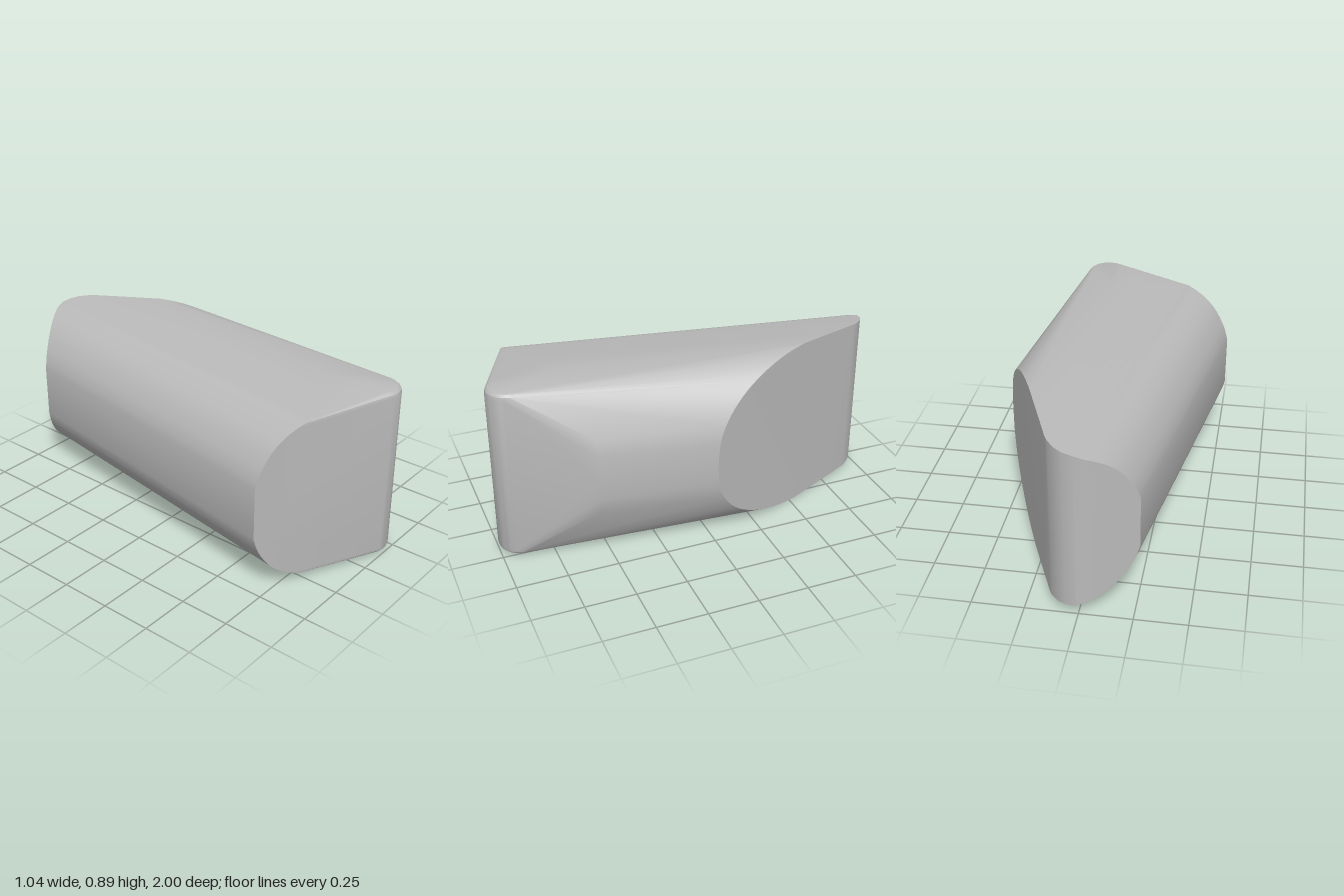
import * as THREE from 'three';
import { ConvexGeometry } from 'three/addons/geometries/ConvexGeometry.js';
import { toCreasedNormals } from 'three/addons/utils/BufferGeometryUtils.js';

const MID = 0.447;   // height of the horizontal symmetry plane
const SKEW = 0.163;  // sideways drift of the body axis per unit of z

// piecewise linear lookup in [[s, value], ...]
function lookup(table, s) {
  for (let i = 1; i < table.length; i++) {
    const [s0, v0] = table[i - 1], [s1, v1] = table[i];
    if (s <= s1) return v0 + (v1 - v0) * Math.max(0, (s - s0) / (s1 - s0));
  }
  return table[table.length - 1][1];
}

export function createModel() {
  const group = new THREE.Group();
  const grey = new THREE.MeshStandardMaterial({ color: 0xbababa });
  grey.name = 'grey';
  const points = [];
  const addMirrored = (x, h, z) => {
    points.push(new THREE.Vector3(x, MID + h, z), new THREE.Vector3(x, MID - h, z));
  };

  // upper half of the body cross-section: across, height above the middle
  const spline = pts => new THREE.SplineCurve(pts.map(p => new THREE.Vector2(...p)));
  const leftCorner = spline([[-0.402, 0.13], [-0.375, 0.21], [-0.315, 0.3], [-0.24, 0.36], [-0.155, 0.397]]);
  const rightCorner = spline([[0.21, 0.443], [0.28, 0.43], [0.35, 0.396], [0.41, 0.347],
    [0.455, 0.29], [0.49, 0.22], [0.512, 0.145], [0.52, 0.07], [0.522, 0.01]]);

  // where the body ends at the front and at the back, across the section
  const frontEnd = [[-0.402, 0.72], [-0.155, 0.816], [0.18, 0.65], [0.52, 0.55]];
  const backEnd = [[-0.402, -0.87], [-0.234, -0.975], [-0.197, -0.993], [-0.153, -1],
    [-0.101, -0.99], [-0.057, -0.965], [-0.016, -0.925], [0.003, -0.9], [0.522, 0]];

  const section = [...leftCorner.getPoints(16), ...rightCorner.getPoints(24)];
  // nearly flat top, with a sample at each bend of the back end
  for (const s of [-0.153, -0.128, -0.101, -0.079, -0.057, -0.036, -0.016, 0.003, 0.1]) {
    const t = (s + 0.155) / 0.365;
    section.push(new THREE.Vector2(s, 0.397 + 0.046 * t + 0.008 * t * (1 - t)));
  }
  for (const { x: s, y: h } of section) {
    for (const end of [frontEnd, backEnd]) {
      const z = lookup(end, s);
      addMirrored(s - SKEW * z, h, z);
    }
  }

  // upright rounded nose with a small fillet at top and bottom
  for (const [r, h] of [[0.11, 0.405], [0.106, 0.421], [0.095, 0.432], [0.08, 0.436]]) {
    for (let i = 0; i <= 16; i++) {
      const a = -0.2 + (i / 16) * 2.4;
      addMirrored(0.17 + r * Math.cos(a), h, 0.89 + r * Math.sin(a));
    }
  }

  const body = new THREE.Mesh(toCreasedNormals(new ConvexGeometry(points), 0.45), grey);
  body.name = 'roundedBlock';
  group.add(body);
  return group;
}
